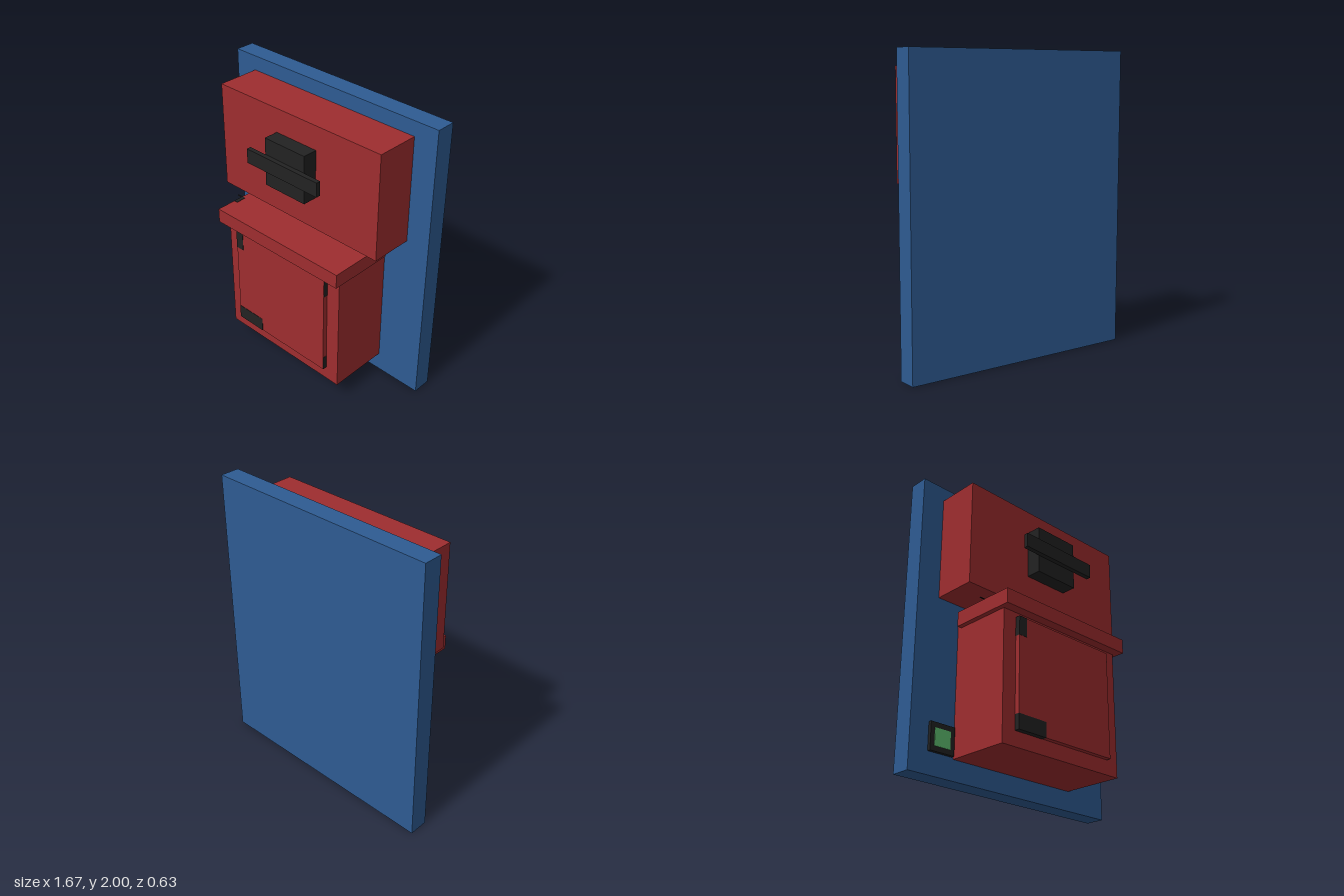
import * as THREE from 'three';

const material = (name, color) => {
  const m = new THREE.MeshStandardMaterial({ color });
  m.name = name;
  return m;
};

export function createModel() {
  const blue = material('blue panel', 0x2e5b92);
  const red = material('red paint', 0x9e2d2f);
  const black = material('black trim', 0x222222);
  const green = material('green light', 0x60c172);
  const model = new THREE.Group();
  model.name = 'wallCabinet';

  // Adds a box given its extent along each axis
  const box = (name, mat, [x0, x1], [y0, y1], [z0, z1]) => {
    const mesh = new THREE.Mesh(new THREE.BoxGeometry(x1 - x0, y1 - y0, z1 - z0), mat);
    mesh.position.set((x0 + x1) / 2, (y0 + y1) / 2, (z0 + z1) / 2);
    mesh.name = name;
    model.add(mesh);
  };

  const wall = -0.183;
  box('backPanel', blue, [-0.833, 0.833], [0, 2], [-0.316, wall]);

  // Upper unit with its handle
  box('upperBox', red, [-0.667, 0.667], [1.168, 1.9], [wall, 0.114]);
  box('handleBase', black, [-0.167, 0.167], [1.4, 1.735], [0.114, 0.216]);
  box('handleBar', black, [-0.3, 0.3], [1.52, 1.62], [0.216, 0.248]);

  // Lower unit with overhanging lid and door
  box('lowerBox', red, [-0.5, 0.5], [0.135, 1.068], [wall, 0.25]);
  box('lid', red, [-0.533, 0.533], [1, 1.1], [-0.15, 0.316]);
  box('door', red, [-0.4, 0.4], [0.235, 0.967], [0.25, 0.283]);

  // Black door corners: wrapped on the left, edge plates on the right
  const corners = [['upper', [0.84, 0.968], -0.34], ['lower', [0.234, 0.334], -0.175]];
  for (const [place, height, inner] of corners) {
    box(place + 'LeftDoorCorner', black, [-0.401, inner], height, [0.25, 0.285]);
    box(place + 'RightDoorCorner', black, [0.399, 0.402], height, [0.25, 0.282]);
  }

  // Small flat catch on the lid's edge
  box('lidCatch', black, [-0.533, -0.505], [1.098, 1.102], [0.1, 0.175]);
  box('lidCatchTab', black, [-0.57, -0.52], [1.098, 1.102], [0.1, 0.108]);

  // Indicator lamp
  box('lampFrame', black, [-0.695, -0.512], [0.145, 0.327], [wall, -0.16]);
  box('lampScreen', green, [-0.665, -0.545], [0.178, 0.292], [-0.16, -0.157]);

  return model;
}
